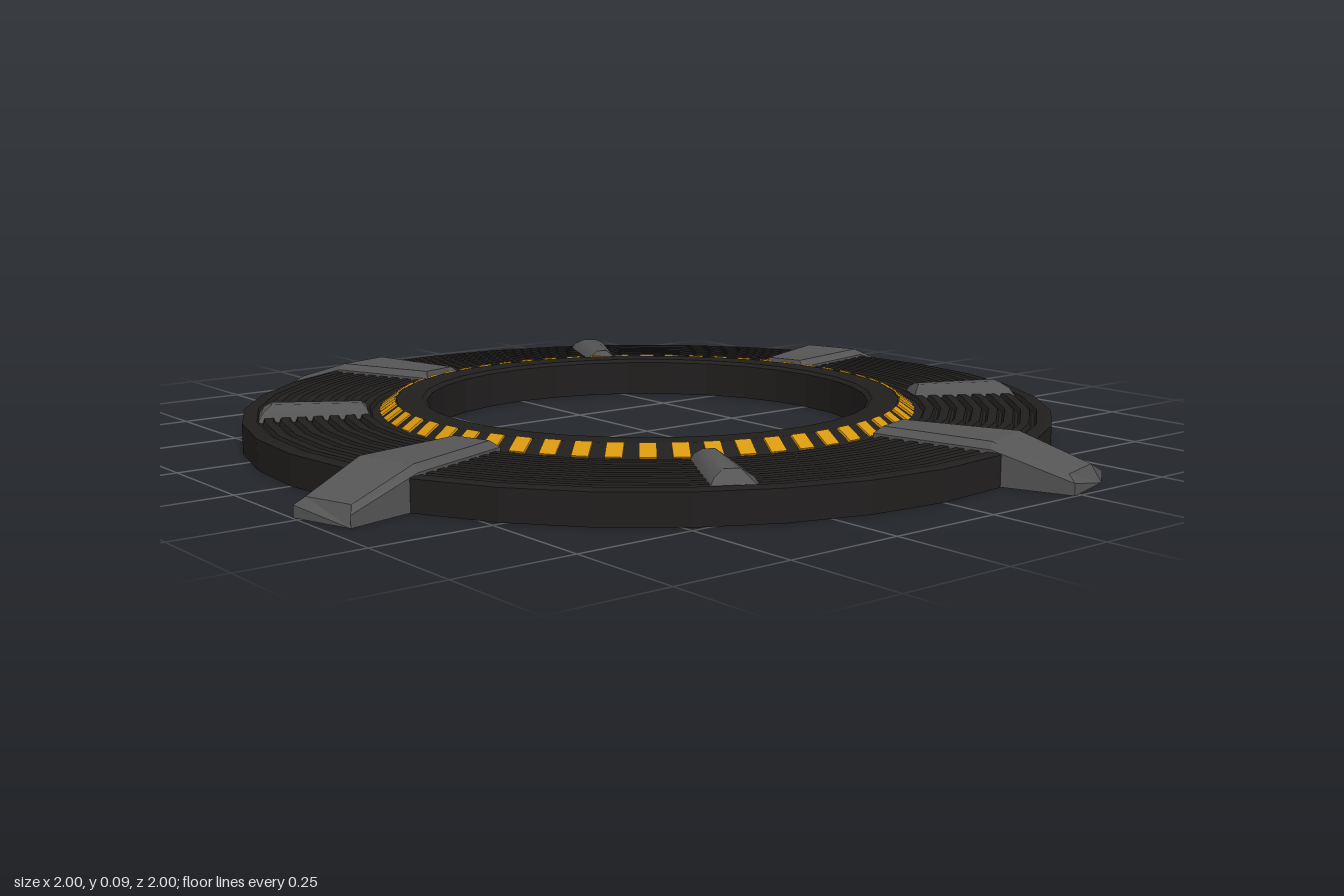
import * as THREE from 'three';
import { toCreasedNormals } from 'three/addons/utils/BufferGeometryUtils.js';

const CLAMP_ANGLE = THREE.MathUtils.degToRad(17);

// Skin matching cross-sections running outward along +x, with capped ends
function loft(sections, crease) {
  const pos = [];
  const n = sections[0].length;
  const tri = (...pts) => pts.forEach((p) => pos.push(...p));
  for (let i = 0; i < sections.length - 1; i++) {
    const a = sections[i], b = sections[i + 1];
    for (let j = 0; j < n; j++) {
      const k = (j + 1) % n;
      tri(a[j], b[k], b[j]);
      tri(a[j], a[k], b[k]);
    }
  }
  const first = sections[0], last = sections[sections.length - 1];
  for (let j = 1; j < n - 1; j++) {
    tri(first[0], first[j + 1], first[j]);
    tri(last[0], last[j], last[j + 1]);
  }
  const geo = new THREE.BufferGeometry();
  geo.setAttribute('position', new THREE.Float32BufferAttribute(pos, 3));
  geo.computeVertexNormals();
  return toCreasedNormals(geo, crease);
}

// Bevelled block section: base radius, top radius, half width, top height
function clampSection(rBase, rTop, half, top) {
  const s = top - 0.014, w = half - 0.014;
  return [
    [rBase, 0, -half], [rBase, s, -half], [rTop, top, -w],
    [rTop, top, w], [rBase, s, half], [rBase, 0, half],
  ];
}

// Low rounded ridge section
function finSection(r, rTop, half, top) {
  const base = 0.05, mid = base + (top - base) * 0.7;
  return [
    [r, base, -half], [(r + rTop) / 2, mid, -half * 0.68], [rTop, top, -half * 0.3],
    [rTop, top, half * 0.3], [(r + rTop) / 2, mid, half * 0.68], [r, base, half],
  ];
}

export function createModel() {
  const model = new THREE.Group();
  const dark = new THREE.MeshStandardMaterial({ color: 0x211f1e, flatShading: true });
  const grey = new THREE.MeshStandardMaterial({ color: 0x555555 });
  const amber = new THREE.MeshStandardMaterial({ color: 0xd6960f });

  // Ring: flat base, grooved deck and raised inner rim
  const profile = [[0.485, 0], [0.88, 0], [0.88, 0.064]];
  const ridges = 8, outer = 0.868, inner = 0.595;
  const step = (outer - inner) / ridges;
  for (let i = 0; i < ridges; i++) {
    const r = outer - i * step;
    profile.push([r, 0.066], [r - step * 0.55, 0.066], [r - step * 0.7, 0.057], [r - step * 0.88, 0.057]);
  }
  profile.push([0.588, 0.06], [0.552, 0.085], [0.495, 0.085], [0.485, 0.078], [0.485, 0]);
  const ring = new THREE.Mesh(
    new THREE.LatheGeometry(profile.map(([r, y]) => new THREE.Vector2(r, y)), 32), dark);
  ring.name = 'groovedRing';
  model.add(ring);

  // Marker dashes on the outward slope of the rim
  const markers = new THREE.Group();
  markers.name = 'rimMarkers';
  const dashGeo = new THREE.BoxGeometry(0.04, 0.006, 0.034);
  dashGeo.rotateZ(-Math.atan2(0.025, 0.036));
  dashGeo.translate(0.569, 0.0735, 0);
  const dashes = 56;
  for (let i = 0; i < dashes; i++) {
    const dash = new THREE.Mesh(dashGeo, amber);
    dash.name = 'rimMarker';
    dash.rotation.y = (i / dashes) * Math.PI * 2;
    markers.add(dash);
  }
  model.add(markers);

  // Four long clamps with four short fins between them
  const clampGeo = loft([
    clampSection(0.59, 0.605, 0.058, 0.085),
    clampSection(0.855, 0.85, 0.08, 0.085),
    clampSection(1.022, 1.004, 0.07, 0.038),
  ], 0.1);
  const finGeo = loft([
    finSection(0.605, 0.625, 0.04, 0.088),
    finSection(0.85, 0.815, 0.054, 0.09),
  ], 0.8);
  for (let i = 0; i < 4; i++) {
    const clamp = new THREE.Mesh(clampGeo, grey);
    clamp.name = 'clamp';
    clamp.rotation.y = CLAMP_ANGLE + i * Math.PI / 2;
    const fin = new THREE.Mesh(finGeo, grey);
    fin.name = 'fin';
    fin.rotation.y = clamp.rotation.y + Math.PI / 4;
    model.add(clamp, fin);
  }
  return model;
}
